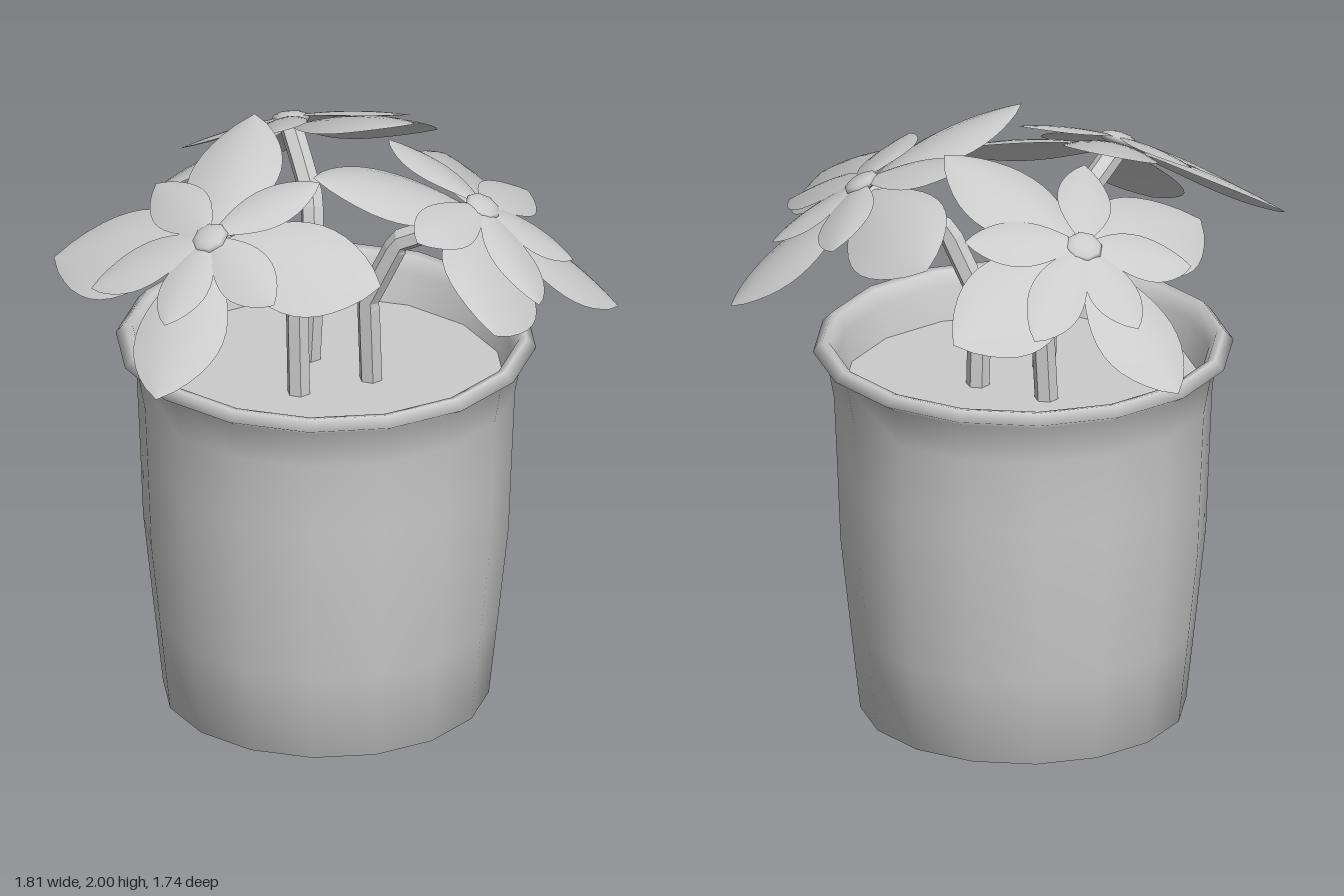
import * as THREE from 'three';

const CX = 0.01, CZ = -0.06; // pot axis

function makeMesh(name, geometry, options = {}) {
  const mesh = new THREE.Mesh(geometry, new THREE.MeshStandardMaterial({ color: 0xcccccc, ...options }));
  mesh.name = name;
  return mesh;
}

// Oval petal reaching (tipX, tipZ), lying on a tilted dome, its edges folded down.
function petalGeometry(tipX, tipZ, { halfWidth, y, slopeX, slopeZ, droop, fold }) {
  const length = Math.hypot(tipX, tipZ);
  const dx = tipX / length, dz = tipZ / length;
  const geometry = new THREE.PlaneGeometry(1, 1, 6, 14);
  const pos = geometry.attributes.position;
  for (let i = 0; i < pos.count; i++) {
    const t = 0.5 - pos.getY(i), v = pos.getX(i) * 2;
    const swell = Math.pow(Math.max(0, Math.sin(Math.PI * Math.pow(t, 1.15))), 0.8);
    const w = halfWidth * swell * v;
    const x = dx * t * length - dz * w;
    const z = dz * t * length + dx * w;
    const height = y + slopeX * x + slopeZ * z - droop * (x * x + z * z) - fold * v * v * swell;
    pos.setXYZ(i, x, height, z);
  }
  geometry.computeVertexNormals();
  return geometry;
}

function createFlower() {
  const flower = new THREE.Group();
  flower.name = 'flower';
  const addPetals = (name, tips, shape) => tips.forEach(([x, z]) =>
    flower.add(makeMesh(name, petalGeometry(x, z, shape), { side: THREE.DoubleSide })));

  // Four large lower petals
  addPetals('largePetal', [[-0.33, -0.47], [0.5, -0.31], [0.2, 0.4], [-0.52, 0.23]],
    { halfWidth: 0.155, y: -0.03, slopeX: -0.2, slopeZ: -0.59, droop: 0.4, fold: 0.03 });
  // Five small upper petals
  addPetals('smallPetal', [[0.12, -0.37], [-0.38, -0.09], [-0.26, 0.29], [0.1, 0.28], [0.36, 0.03]],
    { halfWidth: 0.088, y: 0.008, slopeX: -0.1, slopeZ: -0.54, droop: 0.43, fold: 0.016 });

  // Round centre
  const bud = makeMesh('flowerCentre', new THREE.SphereGeometry(0.064, 8, 6));
  bud.scale.y = 0.4;
  bud.rotation.x = 0.5;
  flower.add(bud);
  return flower;
}

// Faceted stem with a few bends
function createStem() {
  const path = new THREE.CurvePath();
  const points = [
    [0.035, 1.1, 0.145], [0.02, 1.43, 0.14], [0.01, 1.66, 0.25], [0.025, 1.73, 0.4], [0.04, 1.79, 0.52],
  ].map((p) => new THREE.Vector3(...p));
  for (let i = 1; i < points.length; i++) path.add(new THREE.LineCurve3(points[i - 1], points[i]));
  return makeMesh('stem', new THREE.TubeGeometry(path, 24, 0.039, 6), { flatShading: true });
}

export function createModel() {
  const model = new THREE.Group();
  model.name = 'pottedFlowers';

  const plantPot = new THREE.Group();
  plantPot.name = 'plantPot';
  plantPot.position.set(CX, 0, CZ);
  model.add(plantPot);

  // Pot wall with a hollow foot and rolled rim
  const profile = [
    [0.5, 0.12], [0.535, 0], [0.568, 0.3], [0.6, 0.6], [0.61, 0.85], [0.621, 1.1],
    [0.646, 1.235], [0.69, 1.262], [0.66, 1.295], [0.635, 1.29], [0.61, 1.24], [0.585, 1.11],
  ].map(([r, y]) => new THREE.Vector2(r, y));
  plantPot.add(makeMesh('pot', new THREE.LatheGeometry(profile, 16)));

  // Raised base and soil
  const addDisc = (name, radius, y, tilt) => {
    const disc = makeMesh(name, new THREE.CircleGeometry(radius, 16));
    disc.rotation.x = tilt;
    disc.position.y = y;
    plantPot.add(disc);
  };
  addDisc('base', 0.505, 0.12, Math.PI / 2);
  addDisc('soil', 0.59, 1.13, -Math.PI / 2);

  // Three plants around the pot axis
  for (const degrees of [0, 120, -122]) {
    const plant = new THREE.Group();
    plant.name = 'plant';
    plant.rotation.y = THREE.MathUtils.degToRad(degrees);
    const flower = createFlower();
    flower.position.set(0.04, 1.815, 0.53);
    plant.add(createStem(), flower);
    plantPot.add(plant);
  }
  return model;
}
